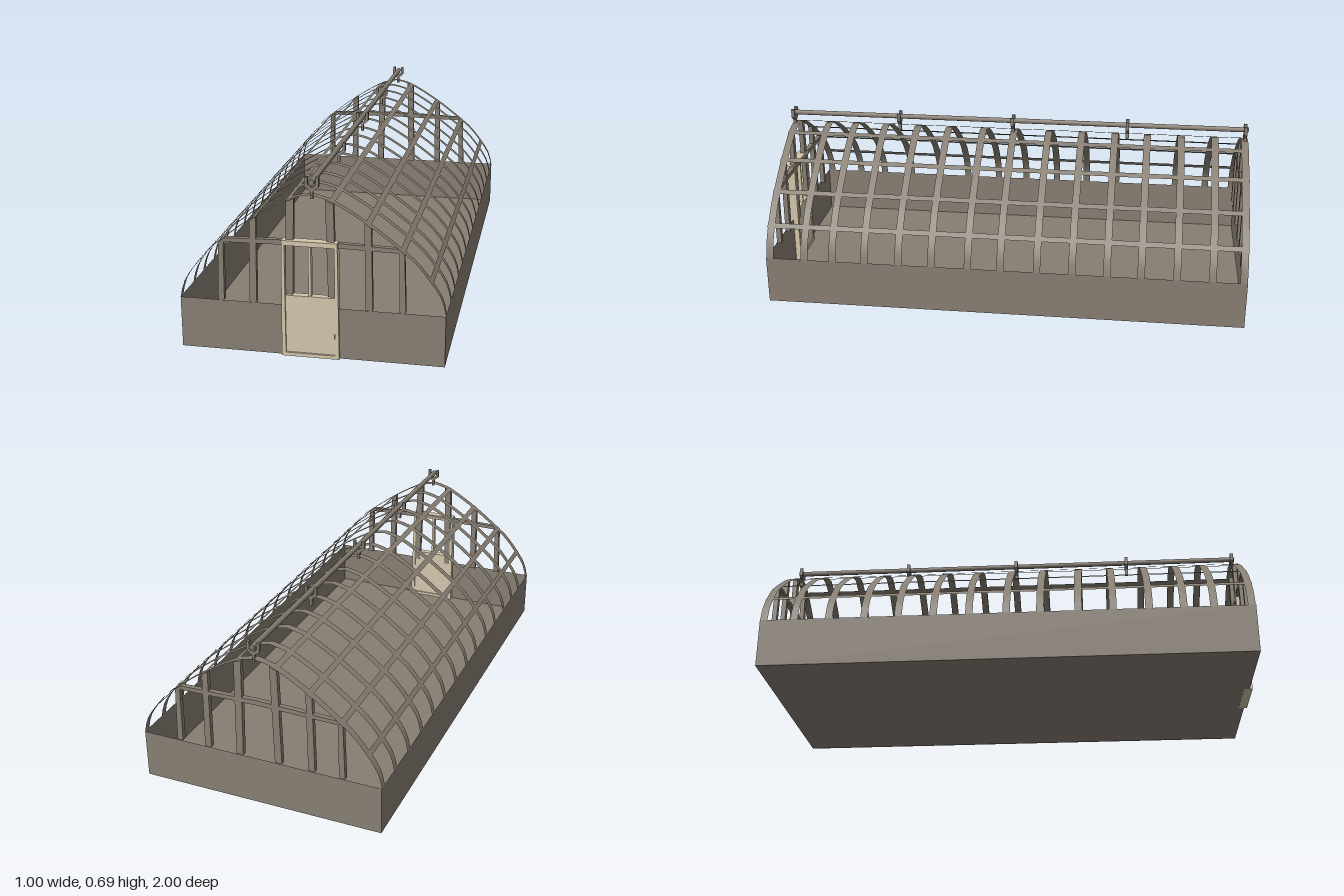
import * as THREE from 'three';

const V2 = (x, y) => new THREE.Vector2(x, y);
const BACK = -1, FRONT = 0.987;

export function createModel() {
  const root = new THREE.Group();
  root.name = 'greenhouse';
  const frameMat = new THREE.MeshStandardMaterial({ color: 0x877e72, side: THREE.DoubleSide });
  frameMat.name = 'taupe frame';
  const doorMat = new THREE.MeshStandardMaterial({ color: 0xd2c5aa });
  doorMat.name = 'cream door';

  const add = (name, geo, mat, parent = root) => {
    const mesh = new THREE.Mesh(geo, mat);
    mesh.name = name;
    parent.add(mesh);
    return mesh;
  };
  const group = (name) => {
    const g = new THREE.Group();
    g.name = name;
    root.add(g);
    return g;
  };
  const box = (name, mat, x0, x1, y0, y1, z0, z1, parent) => {
    const m = add(name, new THREE.BoxGeometry(x1 - x0, y1 - y0, z1 - z0), mat, parent);
    m.position.set((x0 + x1) / 2, (y0 + y1) / 2, (z0 + z1) / 2);
    return m;
  };
  const slab = (name, mat, pts, z0, z1, parent) => {
    const shape = new THREE.Shape(pts.map(([x, y]) => V2(x, y)));
    const geo = new THREE.ExtrudeGeometry(shape, { depth: z1 - z0, bevelEnabled: false });
    geo.translate(0, 0, z0);
    return add(name, geo, mat, parent);
  };

  // Open tray: floor and four thin walls
  const base = group('base');
  const depth = FRONT - BACK, midZ = (FRONT + BACK) / 2;
  const panel = (name, w, h, pos, rot) => {
    const m = add(name, new THREE.PlaneGeometry(w, h), frameMat, base);
    m.position.set(...pos);
    m.rotation.set(...rot);
  };
  panel('floor', 1, depth, [0, 0.001, midZ], [Math.PI / 2, 0, 0]);
  panel('frontWall', 1, 0.2, [0, 0.1, FRONT], [0, 0, 0]);
  panel('backWall', 1, 0.2, [0, 0.1, BACK], [0, Math.PI, 0]);
  for (const s of [-1, 1]) panel('sideWall', depth, 0.2, [s * 0.5, 0.1, midZ], [0, s * Math.PI / 2, 0]);

  // Half profile of the pointed arch, from wall to ridge
  const half = new THREE.SplineCurve([
    V2(0.5, 0.2), V2(0.488, 0.25), V2(0.465, 0.295), V2(0.4, 0.38),
    V2(0.345, 0.43), V2(0.215, 0.528), V2(0.08, 0.608), V2(0, 0.63),
  ]);
  const uAtHeight = (y) => {
    let a = 0, b = 1;
    for (let i = 0; i < 30; i++) {
      const m = (a + b) / 2;
      if (half.getPointAt(m).y < y) a = m; else b = m;
    }
    return a;
  };
  // Thin strip lying on the arch between two heights along the curve
  const strip = (name, side, u0, u1, z0, z1, parent) => {
    const n = Math.max(1, Math.round((u1 - u0) * 20));
    const geo = new THREE.PlaneGeometry(1, 1, n, 1);
    const p = geo.attributes.position;
    for (let i = 0; i < p.count; i++) {
      const t = p.getX(i) * side + 0.5;
      const q = half.getPointAt(Math.min(1, Math.max(0, u0 + (u1 - u0) * (1 - t))));
      p.setXYZ(i, side * q.x, q.y, p.getY(i) < 0 ? z1 : z0);
    }
    geo.computeVertexNormals();
    add(name, geo, frameMat, parent);
  };

  // Curved ribs and lengthwise purlins
  const lattice = group('archLattice');
  const ribs = [0.97, 0.823, 0.704, 0.568, 0.425, 0.287, 0.135, 0, -0.15, -0.294, -0.436, -0.574, -0.718, -0.86, -0.984];
  for (const side of [-1, 1]) {
    for (const z of ribs) strip('rib', side, 0, 1, z - 0.015, z + 0.015, lattice);
    for (const y of [0.325, 0.435, 0.53, 0.608]) {
      const u = uAtHeight(y);
      strip('purlin', side, u - 0.016, u + 0.016, BACK, FRONT, lattice);
    }
  }

  // Gable posts and cross rail at both ends
  const mirror = (pts, s) => pts.map(([x, y]) => [s * x, y]);
  for (const [name, z0, z1] of [['frontGable', FRONT - 0.022, FRONT - 0.002], ['backGable', BACK + 0.002, BACK + 0.022]]) {
    const gable = group(name);
    for (const s of [-1, 1]) {
      slab('innerPost', frameMat, mirror([[0.067, 0.2], [0.096, 0.2], [0.088, 0.6], [0.058, 0.612]], s), z0, z1, gable);
      slab('middlePost', frameMat, mirror([[0.205, 0.2], [0.232, 0.2], [0.226, 0.518], [0.201, 0.535]], s), z0, z1, gable);
      slab('outerPost', frameMat, mirror([[0.33, 0.2], [0.354, 0.2], [0.347, 0.425], [0.327, 0.443]], s), z0, z1, gable);
    }
    slab('crossRail', frameMat, [
      [-0.347, 0.426], [-0.327, 0.43], [0, 0.436], [0.327, 0.43], [0.347, 0.426],
      [0.322, 0.446], [0, 0.456], [-0.322, 0.446],
    ], z0, z1, gable);
  }

  // Door: jambs, lintel, solid lower panel and split window above
  const door = group('door');
  const dz0 = FRONT - 0.022;
  for (const s of [-1, 1]) {
    slab('doorJamb', doorMat, mirror([[0.093, 0], [0.109, 0], [0.104, 0.456], [0.093, 0.456]], s), dz0, 1, door);
  }
  box('doorLintel', doorMat, -0.093, 0.093, 0.437, 0.456, dz0, 1, door);
  box('doorSill', doorMat, -0.093, 0.093, 0, 0.014, dz0, 1, door);
  box('doorPanel', doorMat, -0.092, 0.092, 0.016, 0.242, dz0 + 0.003, 0.996, door);
  box('doorMullion', doorMat, -0.005, 0.005, 0.242, 0.437, dz0 + 0.005, 0.995, door);

  // Ridge pipe resting in forked brackets
  const ridge = group('ridge');
  const cx = 0.008;
  const pipe = add('ridgePipe', new THREE.CylinderGeometry(0.011, 0.011, 1.985, 8), frameMat, ridge);
  pipe.rotation.x = Math.PI / 2;
  pipe.position.set(cx, 0.677, -0.005);
  const fork = [
    [-0.005, 0.615], [0.005, 0.615], [0.005, 0.642], [0.026, 0.66], [0.026, 0.695], [0.015, 0.695],
    [0.015, 0.667], [0, 0.655], [-0.015, 0.667], [-0.015, 0.695], [-0.026, 0.695], [-0.026, 0.66], [-0.005, 0.642],
  ].map(([x, y]) => [x + cx, y]);
  for (const z of [0.975, 0.503, 0.005, -0.488, -0.985]) {
    slab('ridgeBracket', frameMat, fork, z - 0.007, z + 0.007, ridge);
  }
  return root;
}
